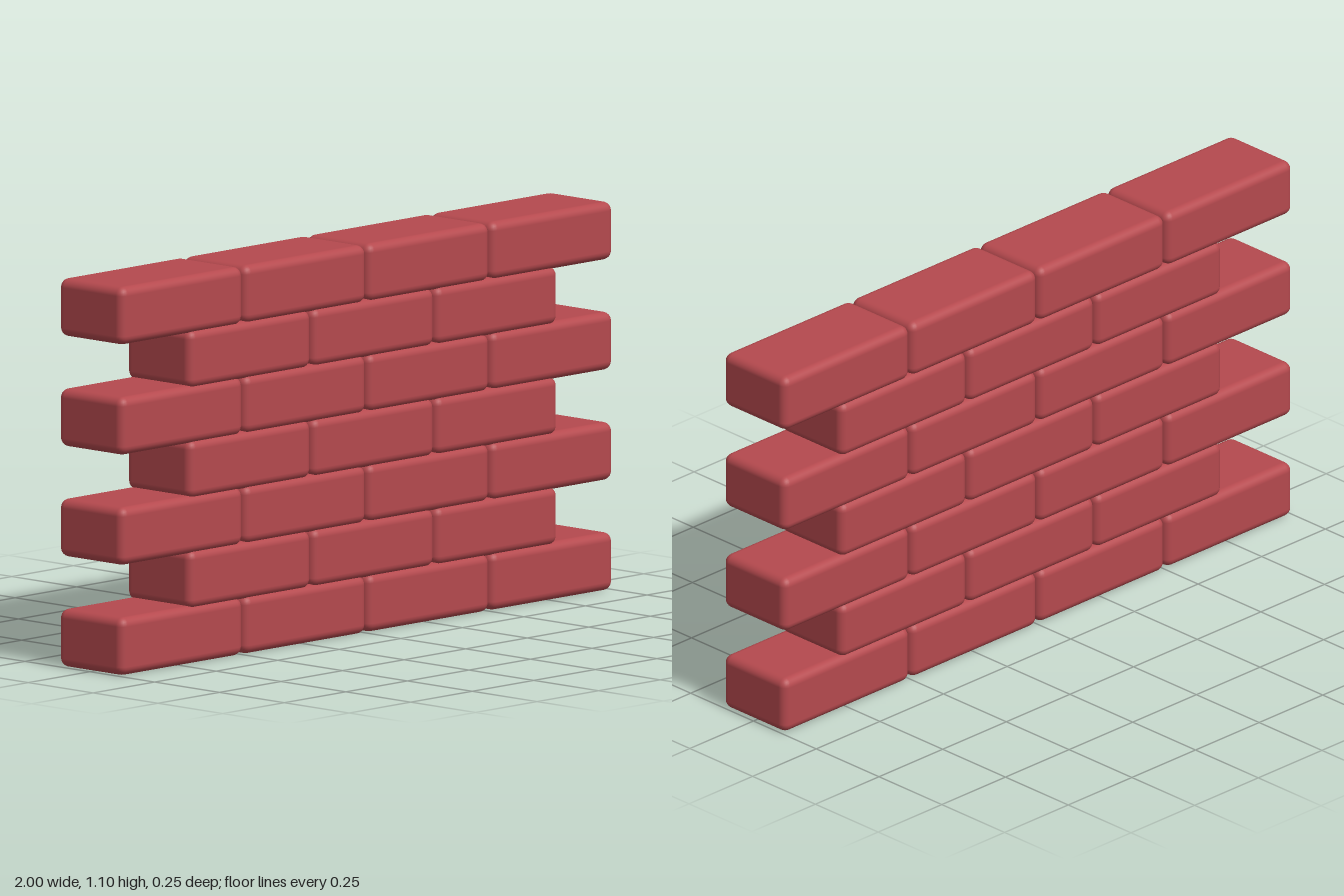
import * as THREE from 'three';
import { RoundedBoxGeometry } from 'three/addons/geometries/RoundedBoxGeometry.js';

const BRICK = { width: 0.497, height: 0.164, depth: 0.25, bevel: 0.025 };
const PITCH_X = 0.501;
const PITCH_Y = 0.1563;
const ROWS = 7;

export function createModel() {
  const wall = new THREE.Group();
  wall.name = 'brickWall';

  const material = new THREE.MeshStandardMaterial({ color: 0xb5494e });
  const geometry = new RoundedBoxGeometry(BRICK.width, BRICK.height, BRICK.depth, 3, BRICK.bevel);

  // Courses alternate between four bricks and three slightly off-centre bricks
  for (let row = 0; row < ROWS; row++) {
    const isShort = row % 2 === 1;
    const count = isShort ? 3 : 4;
    const course = new THREE.Group();
    course.name = isShort ? 'shortCourse' : 'longCourse';
    course.position.set(isShort ? 0.026 : 0, BRICK.height / 2 + row * PITCH_Y, 0);

    for (let i = 0; i < count; i++) {
      const brick = new THREE.Mesh(geometry, material);
      brick.name = 'brick';
      brick.position.x = (i - (count - 1) / 2) * PITCH_X;
      course.add(brick);
    }
    wall.add(course);
  }
  return wall;
}
